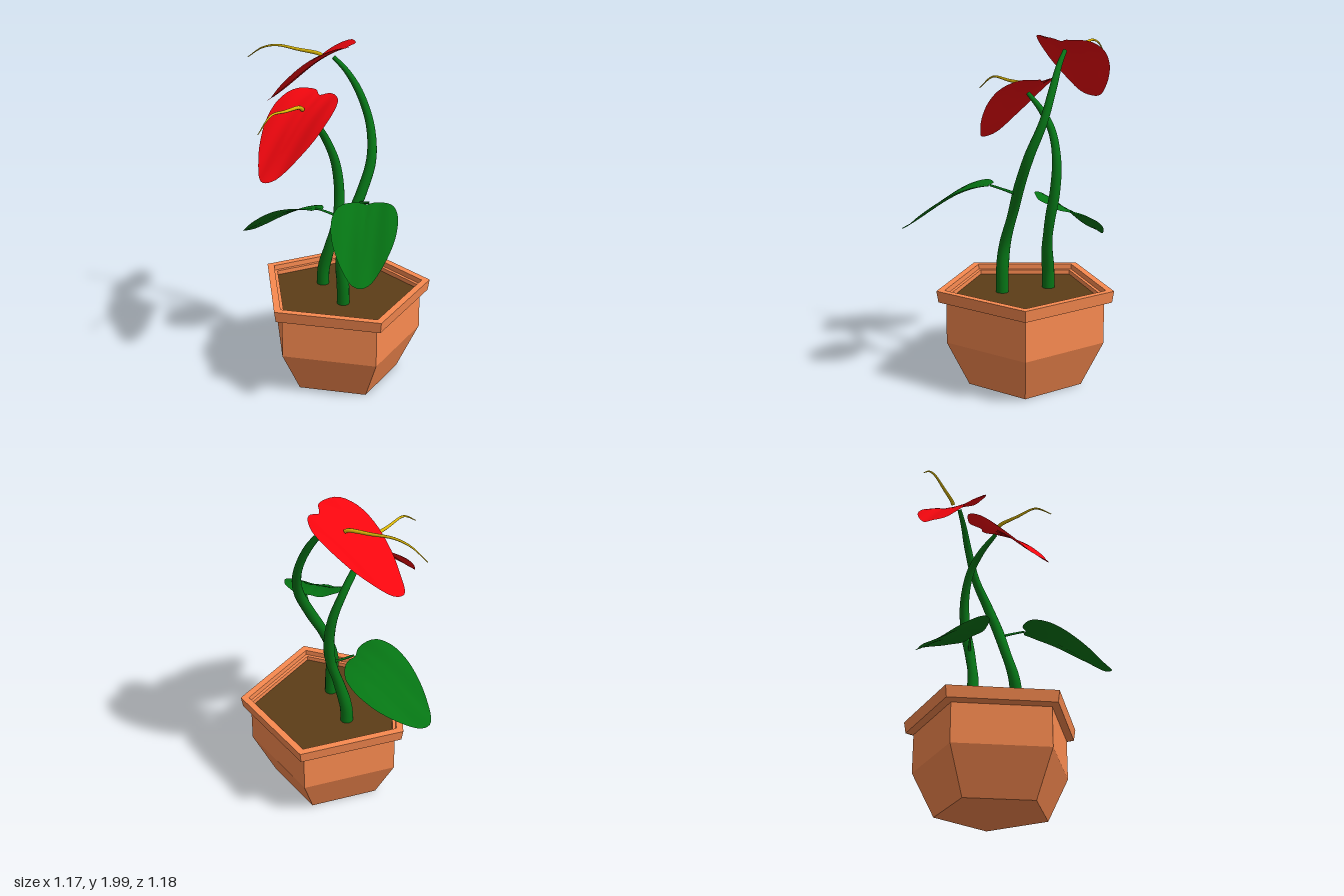
import * as THREE from 'three';

const V = (p) => new THREE.Vector3(...p);
const paint = (color, extra = {}) => new THREE.MeshStandardMaterial({ color, ...extra });

const red = paint(0xf4060e, { side: THREE.DoubleSide });
const leafGreen = paint(0x067514, { side: THREE.DoubleSide });
const stemGreen = paint(0x067516);
const yellow = paint(0xdcb808);
const clay = paint(0xf88a50, { flatShading: true });
const earth = paint(0x5c3d18, { flatShading: true });

function add(parent, name, geometry, material) {
  const mesh = new THREE.Mesh(geometry, material);
  mesh.name = name;
  parent.add(mesh);
}

// Tube through points whose radius runs through the given list from start to end
function taperedTube(points, radii, segments = 40, sides = 12) {
  const curve = new THREE.CatmullRomCurve3(points.map(V));
  const geo = new THREE.TubeGeometry(curve, segments, 1, sides);
  const pos = geo.attributes.position;
  const p = new THREE.Vector3();
  for (let i = 0; i <= segments; i++) {
    const centre = curve.getPointAt(i / segments);
    const f = (i / segments) * (radii.length - 1);
    const k = Math.min(Math.floor(f), radii.length - 2);
    const r = THREE.MathUtils.lerp(radii[k], radii[k + 1], f - k);
    for (let j = 0; j <= sides; j++) {
      const n = i * (sides + 1) + j;
      p.fromBufferAttribute(pos, n).sub(centre).multiplyScalar(r).add(centre);
      pos.setXYZ(n, p.x, p.y, p.z);
    }
  }
  return geo;
}

// Half of the heart outline: distance along the blade, half width
const half = [[0.0, 0.24], [0.015, 0.52], [0.11, 0.87], [0.27, 1], [0.47, 0.96], [0.68, 0.76], [0.86, 0.48], [0.96, 0.25]];

// Heart-shaped blade from rings shrinking towards the stalk, laid along base -> tip
function blade({ base, tip, halfWidth, tilt, arch, cup, notch }) {
  const rings = 10, around = 56, hub = 0.24;
  const outline = new THREE.CatmullRomCurve3([
    new THREE.Vector3(notch, 0, 0),
    ...half.map(([t, w]) => new THREE.Vector3(t, w, 0)),
    new THREE.Vector3(1, 0, 0),
    ...half.slice().reverse().map(([t, w]) => new THREE.Vector3(t, -w, 0)),
  ], true);
  const start = V(base);
  const along = V(tip).sub(start);
  const across = new THREE.Vector3(along.z, 0, -along.x).normalize();
  across.y = tilt;
  across.normalize();
  const normal = along.clone().cross(across).normalize();

  const pos = [], index = [];
  for (let k = 0; k <= rings; k++) {
    for (let j = 0; j < around; j++) {
      const o = outline.getPoint(j / around);
      const t = hub + (o.x - hub) * (k / rings);
      const w = o.y * (k / rings);
      // Arch strongest near the stalk, groove on the midrib, sides lifted
      const h = arch * 6.75 * t * (1 - t) ** 2 - 0.008 * Math.exp(-((w / 0.15) ** 2)) * (1 - t)
        + cup * w * w + 0.003 * Math.cos(w * 9);
      const p = start.clone().addScaledVector(along, t)
        .addScaledVector(across, w * halfWidth).addScaledVector(normal, h);
      pos.push(p.x, p.y, p.z);
      if (k < rings) {
        const a = k * around + j, b = k * around + (j + 1) % around;
        if (k > 0) index.push(a, a + around, b);
        index.push(b, a + around, b + around);
      }
    }
  }
  const geo = new THREE.BufferGeometry();
  geo.setAttribute('position', new THREE.Float32BufferAttribute(pos, 3));
  // Wind the faces so the upper side is the front
  geo.setIndex(normal.y > 0 ? index.reverse() : index);
  geo.computeVertexNormals();
  return geo;
}

export function createModel() {
  const model = new THREE.Group();
  model.name = 'pottedFlower';

  // Five-sided pot with a stepped rim, and the soil inside
  const pot = new THREE.Group();
  pot.name = 'pot';
  pot.position.set(0.083, 0, -0.068);
  model.add(pot);
  const profile = [[0, 0], [0.337, 0], [0.468, 0.265], [0.466, 0.495], [0.513, 0.508], [0.524, 0.575],
    [0.476, 0.575], [0.474, 0.545], [0.452, 0.545], [0.45, 0.5]];
  add(pot, 'potShell', new THREE.LatheGeometry(profile.map(([x, y]) => new THREE.Vector2(x, y)), 5, Math.PI), clay);
  add(pot, 'soil', new THREE.LatheGeometry([new THREE.Vector2(0.452, 0.52), new THREE.Vector2(0, 0.52)], 5, Math.PI), earth);

  // Two flowers: stem, red blade and yellow spike
  const flowers = [
    {
      name: 'tallFlower',
      stem: [[0.115, 0.5, 0.06], [0.112, 0.65, 0.06], [0.1, 0.8, 0.048], [0.13, 1.0, -0.012], [0.19, 1.17, -0.07],
        [0.232, 1.35, -0.14], [0.21, 1.53, -0.21], [0.14, 1.71, -0.243], [0.06, 1.83, -0.255], [-0.015, 1.9, -0.265]],
      spike: [[-0.085, 1.895, -0.288], [-0.1, 1.905, -0.29], [-0.23, 1.918, -0.31], [-0.36, 1.929, -0.33], [-0.45, 1.905, -0.343], [-0.54, 1.84, -0.355]],
      petal: { base: [0.09, 1.975, -0.26], tip: [-0.415, 1.595, -0.325], halfWidth: 0.197, tilt: 0.07, arch: 0.03, cup: 0.028, notch: 0.05 },
    },
    {
      name: 'shortFlower',
      stem: [[-0.055, 0.5, -0.165], [-0.05, 0.62, -0.165], [-0.01, 0.78, -0.17], [0.028, 0.95, -0.198], [0.03, 1.1, -0.225],
        [0.005, 1.28, -0.228], [-0.045, 1.44, -0.185], [-0.085, 1.55, -0.11], [-0.115, 1.64, -0.02]],
      spike: [[-0.135, 1.665, -0.01], [-0.145, 1.685, 0.015], [-0.2, 1.698, 0.13], [-0.245, 1.71, 0.225], [-0.262, 1.697, 0.26], [-0.3, 1.63, 0.34]],
      petal: { base: [-0.05, 1.735, -0.145], tip: [-0.285, 1.34, 0.305], halfWidth: 0.198, tilt: 0, arch: 0.035, cup: 0.025, notch: 0.05 },
    },
  ];
  for (const f of flowers) {
    const group = new THREE.Group();
    group.name = f.name;
    model.add(group);
    add(group, 'stem', taperedTube(f.stem, [0.037, 0.036, 0.028, 0.031, 0.029, 0.024, 0.021, 0.012], 64, 14), stemGreen);
    add(group, 'petal', blade(f.petal), red);
    add(group, 'spike', taperedTube(f.spike, [0.012, 0.009, 0.006, 0.002], 28, 8), yellow);
  }

  // Two green leaves on thin stalks
  const leaves = [
    {
      name: 'leftLeaf',
      stalk: [[0.18, 1.115, -0.05], [0.225, 1.148, 0.015], [0.268, 1.178, 0.08]],
      shape: { base: [0.25, 1.178, 0.078], tip: [0.31, 0.9, 0.59], halfWidth: 0.183, tilt: 0.05, arch: 0.035, cup: 0.018, notch: 0.025 },
    },
    {
      name: 'rightLeaf',
      stalk: [[0.025, 0.95, -0.2], [-0.04, 0.98, -0.185], [-0.1, 1.005, -0.165]],
      shape: { base: [-0.09, 1.0, -0.155], tip: [-0.585, 0.74, -0.315], halfWidth: 0.19, tilt: 0.3, arch: 0.035, cup: 0.015, notch: 0.025 },
    },
  ];
  for (const l of leaves) {
    const group = new THREE.Group();
    group.name = l.name;
    model.add(group);
    add(group, 'leafStalk', taperedTube(l.stalk, [0.009, 0.007, 0.006], 20, 8), stemGreen);
    add(group, 'leafBlade', blade(l.shape), leafGreen);
  }
  return model;
}
